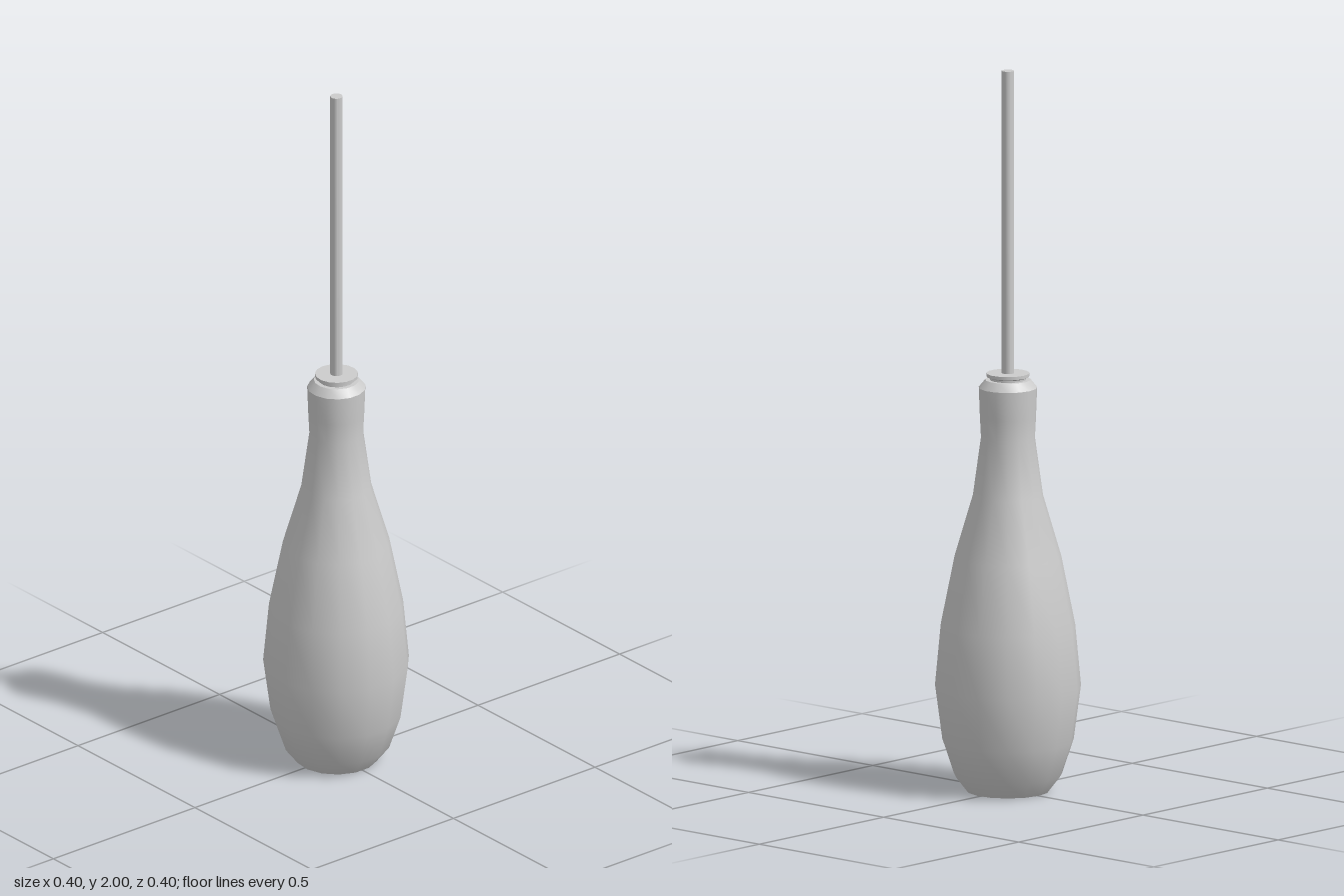
import * as THREE from 'three';
import { toCreasedNormals } from 'three/addons/utils/BufferGeometryUtils.js';

const SIDES = 15;

// Turned part from [radius, height] pairs; a corner of the polygon points to the back
function turned(name, profile, crease = 0.6) {
  const points = profile.map(([r, y]) => new THREE.Vector2(r, y));
  const lathe = new THREE.LatheGeometry(points, SIDES, Math.PI);
  const material = new THREE.MeshStandardMaterial({ color: 0xcccccc });
  const mesh = new THREE.Mesh(toCreasedNormals(lathe, crease), material);
  mesh.name = name;
  return mesh;
}

export function createModel() {
  const model = new THREE.Group();
  model.name = 'handTool';

  // Pear-shaped grip with a flat base and a chamfered neck
  model.add(turned('handle', [
    [0, 0], [0.113, 0], [0.148, 0.045], [0.18, 0.14], [0.2, 0.29],
    [0.184, 0.46], [0.146, 0.65], [0.096, 0.82], [0.074, 0.98],
    [0.077, 1.04], [0.08, 1.12], [0.062, 1.142], [0, 1.142],
  ]));

  // Thin collar disc with a shallow groove beneath it
  model.add(turned('collar', [
    [0.05, 1.14], [0.05, 1.147], [0.059, 1.151], [0.059, 1.16], [0, 1.16],
  ]));

  // Straight round shaft
  model.add(turned('shaft', [[0, 1.15], [0.017, 1.15], [0.017, 2], [0, 2]]));

  return model;
}
